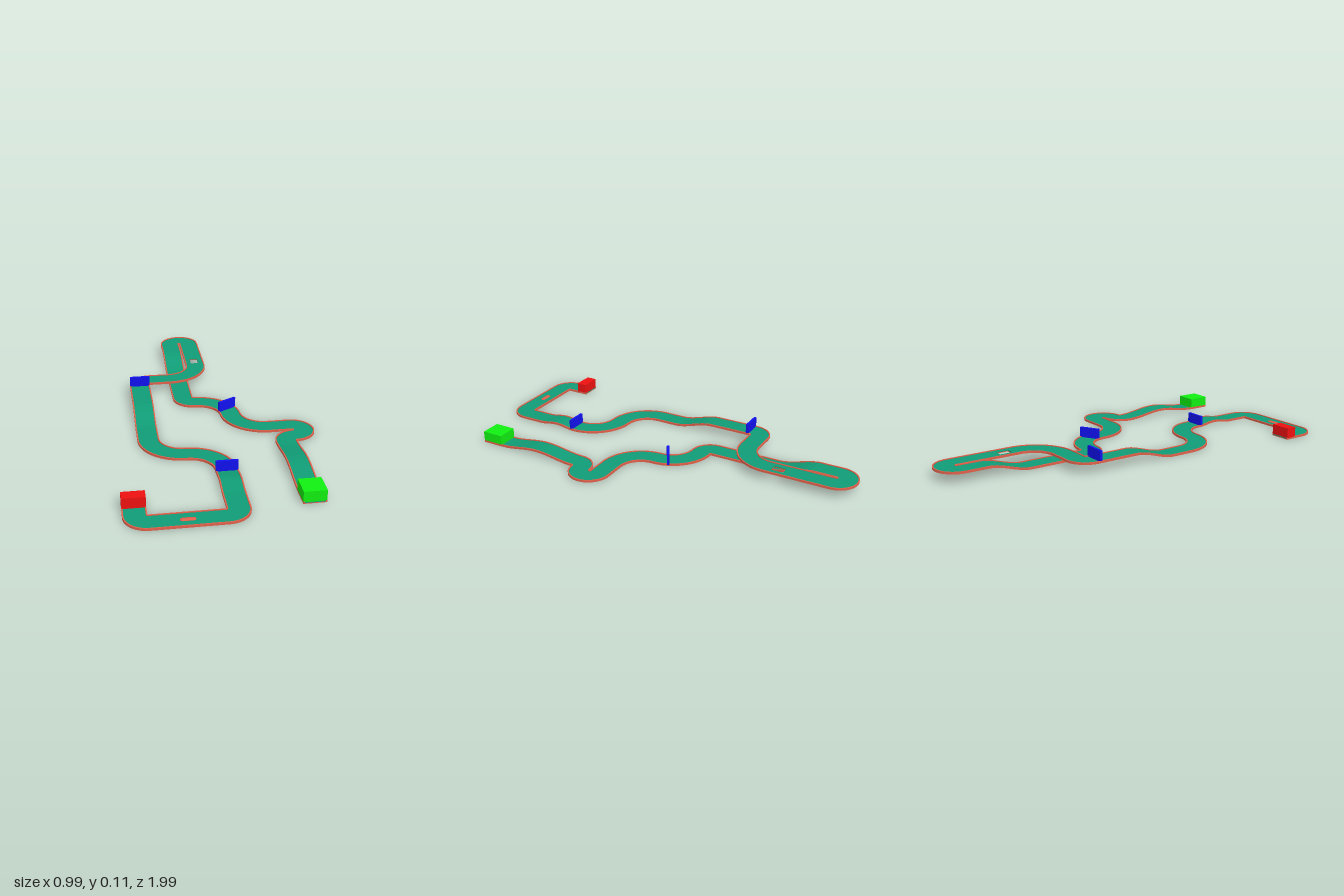
import * as THREE from 'three';

const T = 1 / 9;          // tile size of the layout
const HALF = 0.053;       // half width of the track
const ROAD = 0.047;       // half width of the road between the curbs
const BRIDGE = 0.045;     // height of the raised stretch

const paint = color => new THREE.MeshStandardMaterial({ color });

// Lays out the centre line piece by piece, like a turtle.
function layOutTrack() {
  let x = -4 * T, y = 0, z = 0.775, heading = Math.PI / 2; // direction = (cos, sin) in x, z
  const frames = [];
  const push = () => frames.push({ x, y, z, rx: -Math.sin(heading), rz: Math.cos(heading) });
  push();
  // Straight piece; rise changes the level, hump goes up and down again.
  const straight = (length, rise = 0, hump = 0) => {
    const n = rise || hump ? 20 : 1;
    const x0 = x, y0 = y, z0 = z;
    for (let i = 1; i <= n; i++) {
      const t = i / n;
      x = x0 + Math.cos(heading) * length * t;
      z = z0 + Math.sin(heading) * length * t;
      y = y0 + rise * t * t * (3 - 2 * t) + hump * Math.sin(Math.PI * t) ** 2;
      push();
    }
  };
  // Bend; side is 1 for a right turn and -1 for a left turn.
  const turn = (side, radius, degrees = 90) => {
    const n = degrees / 6;
    const cx = x - side * Math.sin(heading) * radius;
    const cz = z + side * Math.cos(heading) * radius;
    for (let i = 0; i < n; i++) {
      heading += side * THREE.MathUtils.degToRad(6);
      x = cx + side * Math.sin(heading) * radius;
      z = cz - side * Math.cos(heading) * radius;
      push();
    }
  };
  const small = T / 2, wide = 1.5 * T, L = -1, R = 1;

  straight(8 * T - 0.775);
  turn(L, small);
  straight(3 * T);
  turn(L, small);
  straight(T);
  straight(2 * T, 0, 0.013);
  turn(L, wide);
  turn(R, wide);
  straight(T);
  straight(2 * T, BRIDGE);
  straight(2 * T);
  turn(R, small);
  straight(T);
  turn(L, wide);
  straight(0.584 - 5 * T);
  const hole = frames.length - 1; // the next piece has the opening
  straight(0.063);
  straight(8 * T - 0.647);
  turn(L, small, 180);
  straight(T);
  straight(2 * T, -BRIDGE);
  straight(3 * T);
  turn(L, small);
  turn(R, wide);
  turn(L, wide);
  straight(T);
  turn(R, small, 180);
  turn(L, small);
  straight(4 * T, 0, 0.024);
  straight(T);
  return { frames, hole };
}

// Sweeps a rectangle (u across, v up) along the frames, with closed ends.
function sweep(frames, u0, u1, v0, v1) {
  const corners = [[u0, v0], [u1, v0], [u1, v1], [u0, v1]];
  const positions = [], index = [];
  const add = (f, [u, v]) => positions.push(f.x + f.rx * u, f.y + v, f.z + f.rz * u);
  corners.forEach((a, k) => {
    const base = positions.length / 3;
    frames.forEach((f, i) => {
      add(f, a);
      add(f, corners[(k + 1) % 4]);
      if (i === 0) return;
      const p = base + 2 * (i - 1);
      index.push(p, p + 2, p + 3, p, p + 3, p + 1);
    });
  });
  [frames[0], frames[frames.length - 1]].forEach((f, end) => {
    const b = positions.length / 3;
    corners.forEach(c => add(f, c));
    if (end) index.push(b, b + 2, b + 1, b, b + 3, b + 2);
    else index.push(b, b + 1, b + 2, b, b + 2, b + 3);
  });
  const geometry = new THREE.BufferGeometry();
  geometry.setAttribute('position', new THREE.Float32BufferAttribute(positions, 3));
  geometry.setIndex(index);
  geometry.computeVertexNormals();
  return geometry;
}

export function createModel() {
  const model = new THREE.Group();
  model.name = 'raceTrack';
  const curbRed = paint(0xe0604a), green = paint(0x109c76);
  const add = (name, geometry, material, x = 0, y = 0, z = 0) => {
    const mesh = new THREE.Mesh(geometry, material);
    mesh.name = name;
    mesh.position.set(x, y, z);
    model.add(mesh);
    return mesh;
  };

  const { frames, hole } = layOutTrack();

  // Raised curbs along both edges
  add('rightCurb', sweep(frames, ROAD, HALF, 0, 0.011), curbRed);
  add('leftCurb', sweep(frames, -HALF, -ROAD, 0, 0.011), curbRed);

  // Road on its deck, leaving a square opening on the raised straight
  const stretches = [
    [frames.slice(0, hole + 1), -ROAD, ROAD],
    [frames.slice(hole, hole + 2), -ROAD, -0.021],
    [frames.slice(hole, hole + 2), 0.021, ROAD],
    [frames.slice(hole + 1), -ROAD, ROAD],
  ];
  for (const [part, u0, u1] of stretches) {
    add('deck', sweep(part, u0, u1, 0, 0.004), curbRed);
    add('road', sweep(part, u0, u1, 0.004, 0.007), green);
  }

  // Small obstacle on the first long straight
  const bump = add('obstacle', new THREE.CapsuleGeometry(0.013, 0.044, 6, 16), curbRed, -0.225, 0.007, 8.5 * T);
  bump.rotation.z = Math.PI / 2;
  bump.scale.x = 0.35;

  // Start and finish blocks
  add('startBlock', new THREE.BoxGeometry(0.106, 0.052, 0.055), paint(0xee1111), -4 * T, 0.034, 0.803);
  add('finishBlock', new THREE.BoxGeometry(0.106, 0.052, 0.111), paint(0x11ee11), 3 * T, 0.034, 0.833);

  // Checkpoint gates
  const blue = paint(0x1111ee);
  for (const [x, y, z, angle] of [
    [0, 0, 0.571, 0],
    [-3 * T, BRIDGE, -0.318, 0],
    [0.102, 0, -0.06, Math.PI / 6],
  ]) {
    const gate = add('checkpointGate', new THREE.BoxGeometry(0.105, 0.054, 0.013), blue, x, y + 0.033, z);
    gate.rotation.y = angle;
  }
  return model;
}
